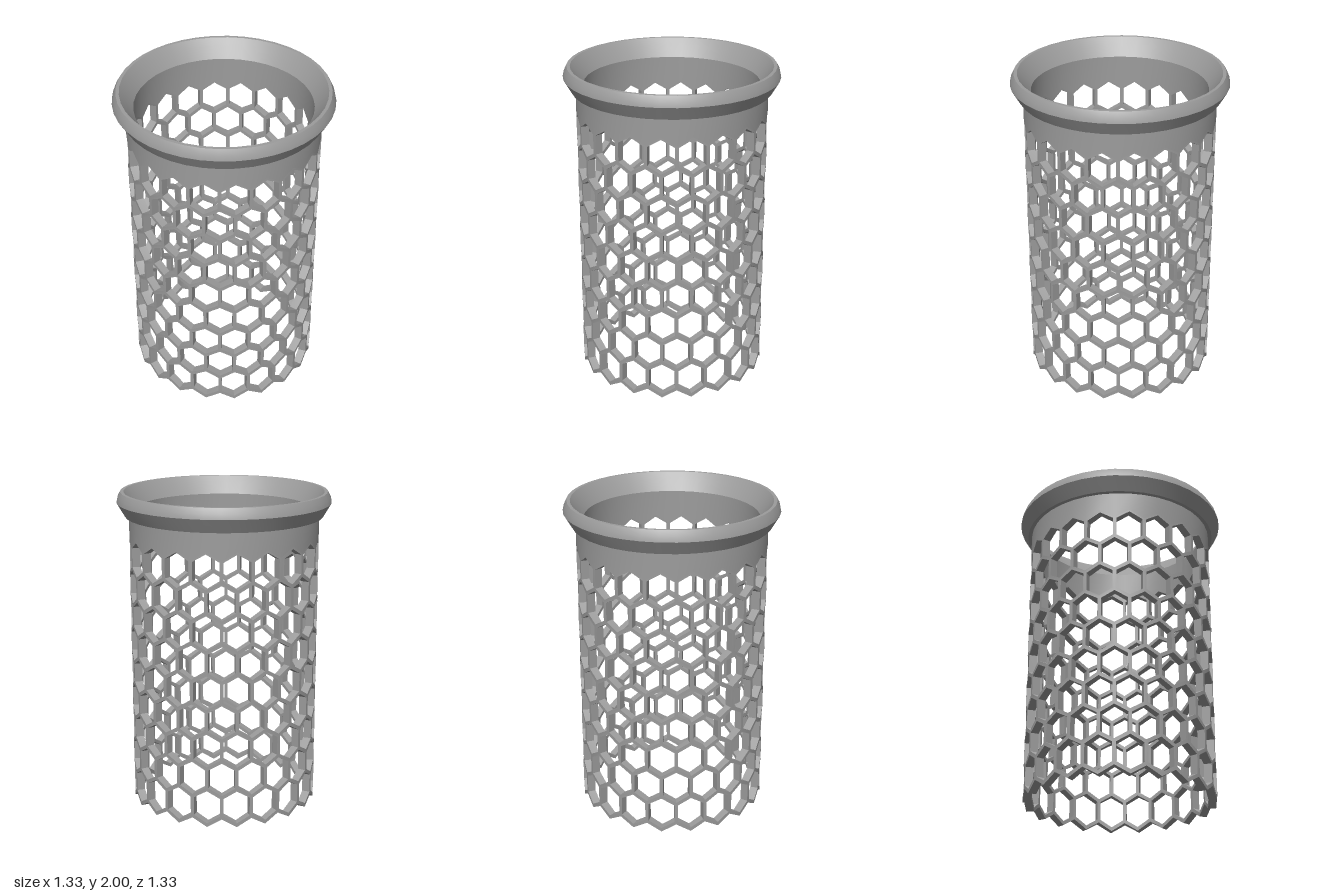
import * as THREE from 'three';
import { toCreasedNormals } from 'three/addons/utils/BufferGeometryUtils.js';

const COLS = 20, ROWS = 9;
const RO = 0.59, RI = 0.54;                 // basket wall radii
const STEP = Math.PI / COLS;                // half a column, in radians
const START = -STEP / 2;                    // angle of the first column
const WALL = 0.022;                         // rib width
const HALF_W = RO * STEP;                   // half cell width
const RISE = 0.0535, PITCH = 0.185;         // cell point height, row spacing
const SHOULDER = (PITCH - RISE) / 2, APEX = SHOULDER + RISE;
const RIB_V = WALL * 0.5 * Math.hypot(1, RISE / HALF_W); // half rib height on slanted ribs
const BOTTOM_ROW = APEX + RIB_V;
const rowY = (k) => BOTTOM_ROW + (ROWS - 1 - k) * PITCH;

// Collects four-cornered faces given as [angle, y, radius]
function faceBuilder() {
  const pos = [];
  const put = ([a, y, r]) => pos.push(r * Math.sin(a), y, r * Math.cos(a));
  return {
    quad(a, b, c, d) { [a, b, c, a, c, d].forEach(put); },
    build() {
      const g = new THREE.BufferGeometry();
      g.setAttribute('position', new THREE.Float32BufferAttribute(pos, 3));
      return toCreasedNormals(g, 0.5);
    },
  };
}
const at = (p, r) => [p[0], p[1], r];

// One hexagonal opening with its share of the ribs
function addCell(f, angle, y) {
  const iw = HALF_W - WALL / 2;
  const ia = APEX - RIB_V, is = ia - RISE * iw / HALF_W;
  const hex = (w, s, a) => [[w, -s], [w, s], [0, a], [-w, s], [-w, -s], [0, -a]]
    .map(([u, v]) => [angle + u / RO, y + v]);
  const outer = hex(HALF_W, SHOULDER, APEX), inner = hex(iw, is, ia);
  for (let i = 0; i < 6; i++) {
    const j = (i + 1) % 6;
    const o0 = outer[i], o1 = outer[j], h0 = inner[i], h1 = inner[j];
    f.quad(at(o0, RO), at(o1, RO), at(h1, RO), at(h0, RO));
    f.quad(at(h0, RI), at(h1, RI), at(o1, RI), at(o0, RI));
    f.quad(at(h0, RO), at(h1, RO), at(h1, RI), at(h0, RI));
  }
}

function meshBasket() {
  const f = faceBuilder();
  for (let k = 0; k < ROWS; k++)
    for (let j = 0; j < COLS; j++)
      addCell(f, START + STEP * (2 * j + (k % 2)), rowY(k));
  // lower half of the bottom zigzag rib
  const edge = (i) => [START + STEP * i, rowY(ROWS - 1) - (i % 2 ? SHOULDER : APEX)];
  for (let i = 0; i < COLS * 2; i++) {
    const u0 = edge(i), u1 = edge(i + 1);
    const l0 = [u0[0], u0[1] - RIB_V], l1 = [u1[0], u1[1] - RIB_V];
    f.quad(at(l0, RO), at(l1, RO), at(u1, RO), at(u0, RO));
    f.quad(at(u0, RI), at(u1, RI), at(l1, RI), at(l0, RI));
    f.quad(at(l0, RI), at(l1, RI), at(l1, RO), at(l0, RO));
  }
  return f.build();
}

// Solid collar whose lower edge follows the top row of cells
function collarBand() {
  const f = faceBuilder();
  const edge = (i) => [START + STEP * i, rowY(0) + (i % 2 ? SHOULDER : APEX)];
  for (let i = 0; i < COLS * 2; i++) {
    const p = edge(i), q = edge(i + 1);
    f.quad(at(p, RO), at(q, RO), [q[0], 1.85, RO], [p[0], 1.85, RO]);
    f.quad([p[0], 1.89, RI], [q[0], 1.89, RI], at(q, RI), at(p, RI));
  }
  return f.build();
}

// Flared lip with a sloping inner seat
function lip() {
  const profile = [[RO, 1.85], [0.615, 1.85], [0.665, 1.935], [0.658, 1.967], [0.64, 2],
    [0.62, 2], [RO, 1.96], [RI, 1.89]].map(([x, y]) => new THREE.Vector2(x, y));
  const g = new THREE.LatheGeometry(profile, COLS * 2, START);
  return toCreasedNormals(g.toNonIndexed(), 0.5);
}

export function createModel() {
  const grey = new THREE.MeshStandardMaterial({ color: 0x9c9c9c });
  grey.name = 'grey';
  const group = new THREE.Group();
  group.name = 'strainerBasket';
  const parts = { honeycombWall: meshBasket(), collarBand: collarBand(), rimLip: lip() };
  for (const [name, geometry] of Object.entries(parts)) {
    const mesh = new THREE.Mesh(geometry, grey);
    mesh.name = name;
    group.add(mesh);
  }
  return group;
}
